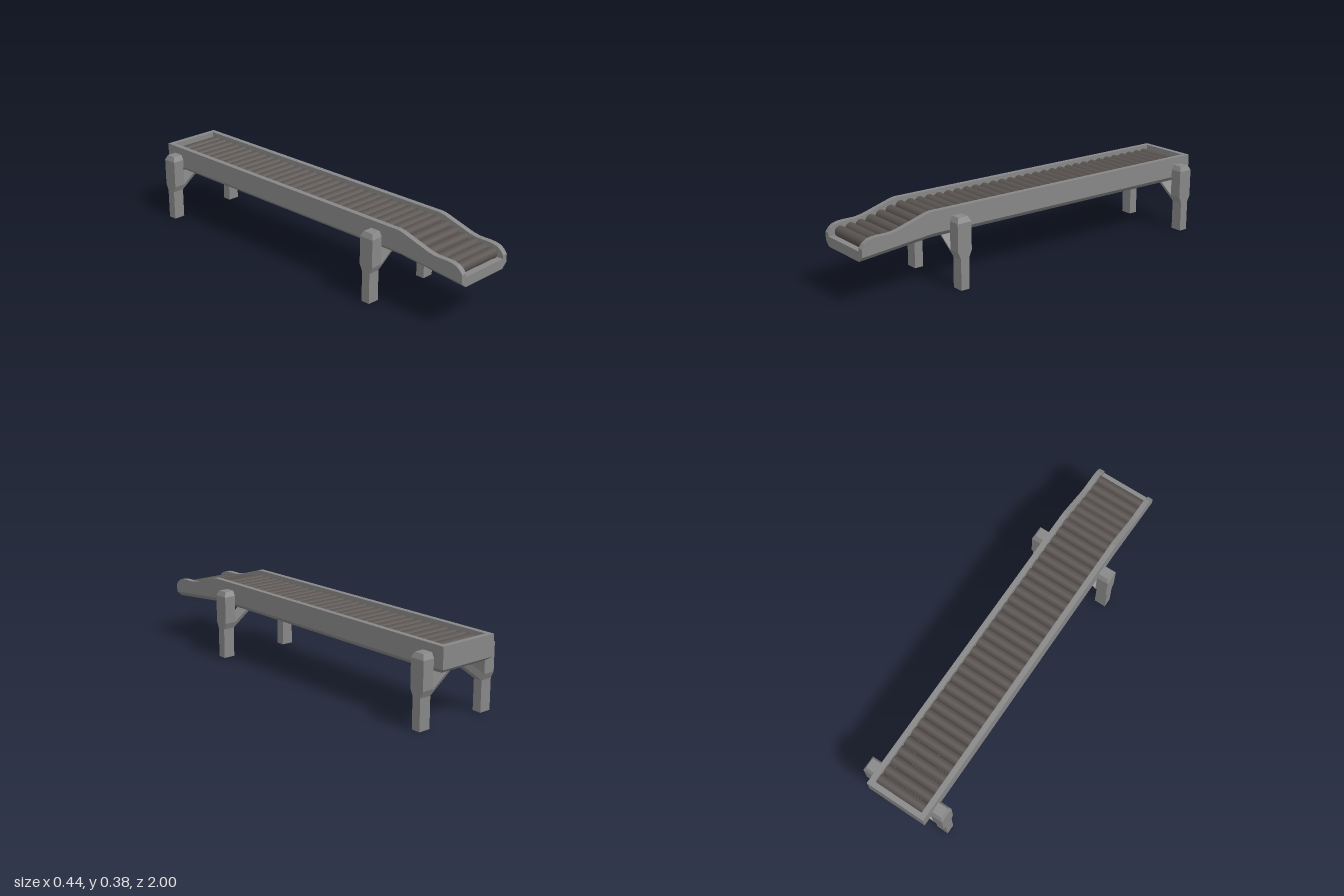
import * as THREE from 'three';

const body = new THREE.MeshStandardMaterial({ color: 0x868686, side: THREE.DoubleSide });
body.name = 'grey metal';
const rubber = new THREE.MeshStandardMaterial({ color: 0x58524f });
rubber.name = 'dark roller';

const HALF = 0.157, INNER = 0.13, CHAMFER = 0.025;

function add(parent, name, geometry, material) {
  const mesh = new THREE.Mesh(geometry, material);
  mesh.name = name;
  parent.add(mesh);
  return mesh;
}

// Faceted, capped solid through a row of four-cornered sections
function loft(sections) {
  const pos = [];
  const quad = (a, b, c, d) => pos.push(...a, ...b, ...c, ...a, ...c, ...d);
  for (let s = 0; s < sections.length - 1; s++) {
    const a = sections[s], b = sections[s + 1];
    for (let i = 0; i < 4; i++) {
      const j = (i + 1) % 4;
      quad(a[i], a[j], b[j], b[i]);
    }
  }
  quad(...sections[sections.length - 1]);
  quad(...[...sections[0]].reverse());
  const g = new THREE.BufferGeometry();
  g.setAttribute('position', new THREE.Float32BufferAttribute(pos, 3));
  g.computeVertexNormals();
  return g;
}

// Side wall: outline in z and y, extruded across x
function wallGeometry() {
  const outline = [
    [-1, 0.28], [0.63, 0.28], [1, 0.245], [1, 0.285], [0.985, 0.305], [0.965, 0.318],
    [0.94, 0.324], [0.91, 0.326], [0.85, 0.326], [0.81, 0.333], [0.66, 0.378], [0.635, 0.383], [-1, 0.383],
  ];
  const shape = new THREE.Shape(outline.map(([z, y]) => new THREE.Vector2(-z, y)));
  const g = new THREE.ExtrudeGeometry(shape, { depth: HALF - INNER, bevelEnabled: false });
  return g.rotateY(Math.PI / 2);
}

// Smooth underside with chamfered long edges
function undersideGeometry() {
  const stations = [[-1, 0.28, 0], [-0.965, 0.255, CHAMFER], [0.63, 0.255, CHAMFER], [1, 0.22, CHAMFER]];
  const pos = [], index = [];
  stations.forEach(([z, y, rise], s) => {
    pos.push(-HALF, y + rise, z, -INNER, y, z, INNER, y, z, HALF, y + rise, z);
    if (s === 0) return;
    for (let i = 0; i < 3; i++) {
      const a = (s - 1) * 4 + i, d = s * 4 + i;
      index.push(a, a + 1, d + 1, a, d + 1, d);
    }
  });
  const g = new THREE.BufferGeometry();
  g.setAttribute('position', new THREE.Float32BufferAttribute(pos, 3));
  g.setIndex(index);
  g.computeVertexNormals();
  return g;
}

function createTray() {
  const tray = new THREE.Group();
  tray.name = 'tray';
  add(tray, 'leftWall', wallGeometry(), body).position.x = INNER;
  add(tray, 'rightWall', wallGeometry(), body).position.x = -HALF;
  add(tray, 'underside', undersideGeometry(), body);
  add(tray, 'backWall', new THREE.BoxGeometry(INNER * 2, 0.103, 0.027), body).position.set(0, 0.3315, -0.9865);
  add(tray, 'frontLip', new THREE.BoxGeometry(INNER * 2, 0.023, 0.03), body).position.set(0, 0.2565, 0.985);
  const nose = new THREE.Shape([[-HALF, 0.245], [-INNER, 0.22], [INNER, 0.22], [HALF, 0.245]]
    .map(([x, y]) => new THREE.Vector2(x, y)));
  add(tray, 'frontPlate', new THREE.ShapeGeometry(nose), body).position.z = 1;
  return tray;
}

// Roller axis height: level, then dipping toward the front
function rollerHeight(z) {
  const path = [[-1, 0.34], [0.62, 0.34], [0.84, 0.29], [1, 0.277]];
  const k = path.findIndex(([end]) => z < end);
  const [z0, y0] = path[k - 1], [z1, y1] = path[k];
  return y0 + (y1 - y0) * (z - z0) / (z1 - z0);
}

function createRollers() {
  const rollers = new THREE.Group();
  rollers.name = 'rollers';
  const g = new THREE.CylinderGeometry(0.0267, 0.0267, INNER * 2, 20).rotateZ(Math.PI / 2);
  const count = 36;
  for (let i = 0; i < count; i++) {
    const z = -0.943 + i * 1.884 / (count - 1);
    add(rollers, 'roller', g, rubber).position.set(0, rollerHeight(z), z);
  }
  return rollers;
}

// Post that widens upward, with a diagonal brace grown from its taper
function createLeg() {
  const leg = new THREE.Group();
  leg.name = 'leg';
  const x0 = 0.161;
  const levels = [[0, 0.222, 0.023], [0.152, 0.222, 0.023], [0.185, 0.222, 0.038],
    [0.322, 0.222, 0.038], [0.347, 0.211, 0.026]];
  add(leg, 'post', loft(levels.map(([y, x1, h]) =>
    [[x0, y, h], [x1, y, h], [x1, y, -h], [x0, y, -h]])), body);
  const section = (x, rise) => [[x, 0.152 + rise, -0.023], [x, 0.152 + rise, 0.023],
    [x, 0.185 + rise, 0.038], [x, 0.185 + rise, -0.038]];
  add(leg, 'brace', loft([section(x0, 0), section(0.018, 0.106)]), body);
  return leg;
}

export function createModel() {
  const model = new THREE.Group();
  model.name = 'rollerConveyor';
  model.add(createTray(), createRollers());
  for (const z of [0.502, -0.912]) {
    for (const turn of [0, Math.PI]) {
      const leg = createLeg();
      leg.position.z = z;
      leg.rotation.y = turn;
      model.add(leg);
    }
  }
  return model;
}
